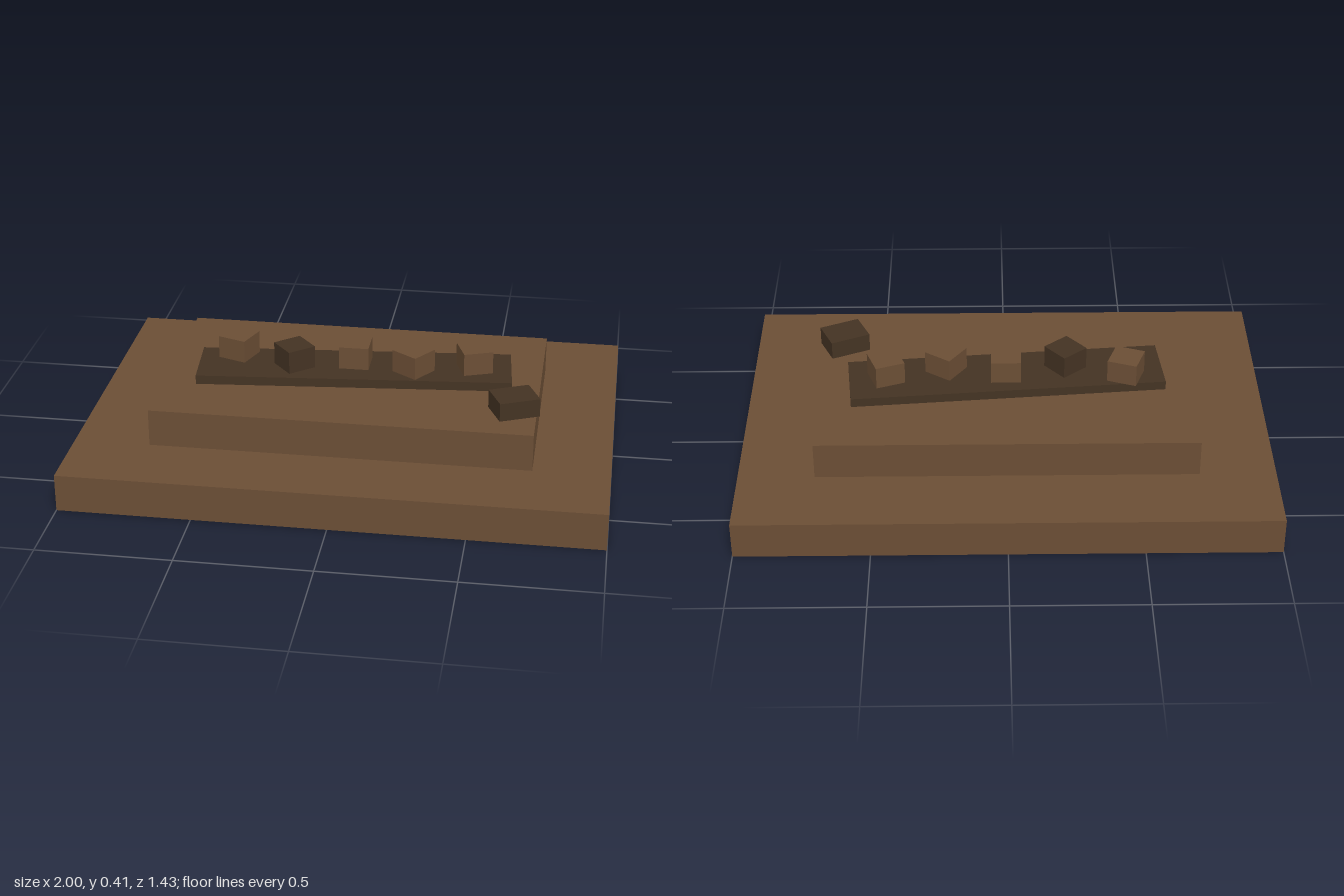
import * as THREE from 'three';

const brown = new THREE.MeshStandardMaterial({ color: 0x6b4e35 });
brown.name = 'brown wood';
const dark = new THREE.MeshStandardMaterial({ color: 0x443323 });
dark.name = 'dark wood';

// Box standing on height y, turned about the vertical axis by an angle in degrees
function block(name, [w, h, d], [x, y, z], degrees, material) {
  const mesh = new THREE.Mesh(new THREE.BoxGeometry(w, h, d), material);
  mesh.name = name;
  mesh.position.set(x, y + h / 2, z);
  mesh.rotation.y = THREE.MathUtils.degToRad(degrees);
  return mesh;
}

export function createModel() {
  const model = new THREE.Group();
  model.name = 'steppedPlatform';

  // Two stacked steps and the skewed plank
  model.add(
    block('lowerStep', [2, 0.143, 1.428], [0, 0, 0], 0, brown),
    block('upperStep', [1.428, 0.143, 0.856], [0, 0.143, 0], 0, brown),
    block('plank', [1.2, 0.035, 0.257], [0, 0.286, 0], 5, dark),
  );

  // Row of small cubes on the plank: x, z, turn, material
  const cubes = new THREE.Group();
  cubes.name = 'cubeRow';
  [
    [-0.458, -0.032, -20, brown],
    [-0.229, 0.035, 40, dark],
    [0, -0.018, 0, brown],
    [0.229, 0.02, -35, brown],
    [0.457, -0.035, 20, brown],
  ].forEach(([x, z, turn, material], i) => {
    cubes.add(block(`cube${i + 1}`, [0.114, 0.088, 0.114], [x, 0.321, z], turn, material));
  });
  model.add(cubes);

  // Loose block beside the plank
  model.add(block('looseBlock', [0.157, 0.071, 0.126], [0.629, 0.286, 0.243], 24, dark));

  return model;
}
